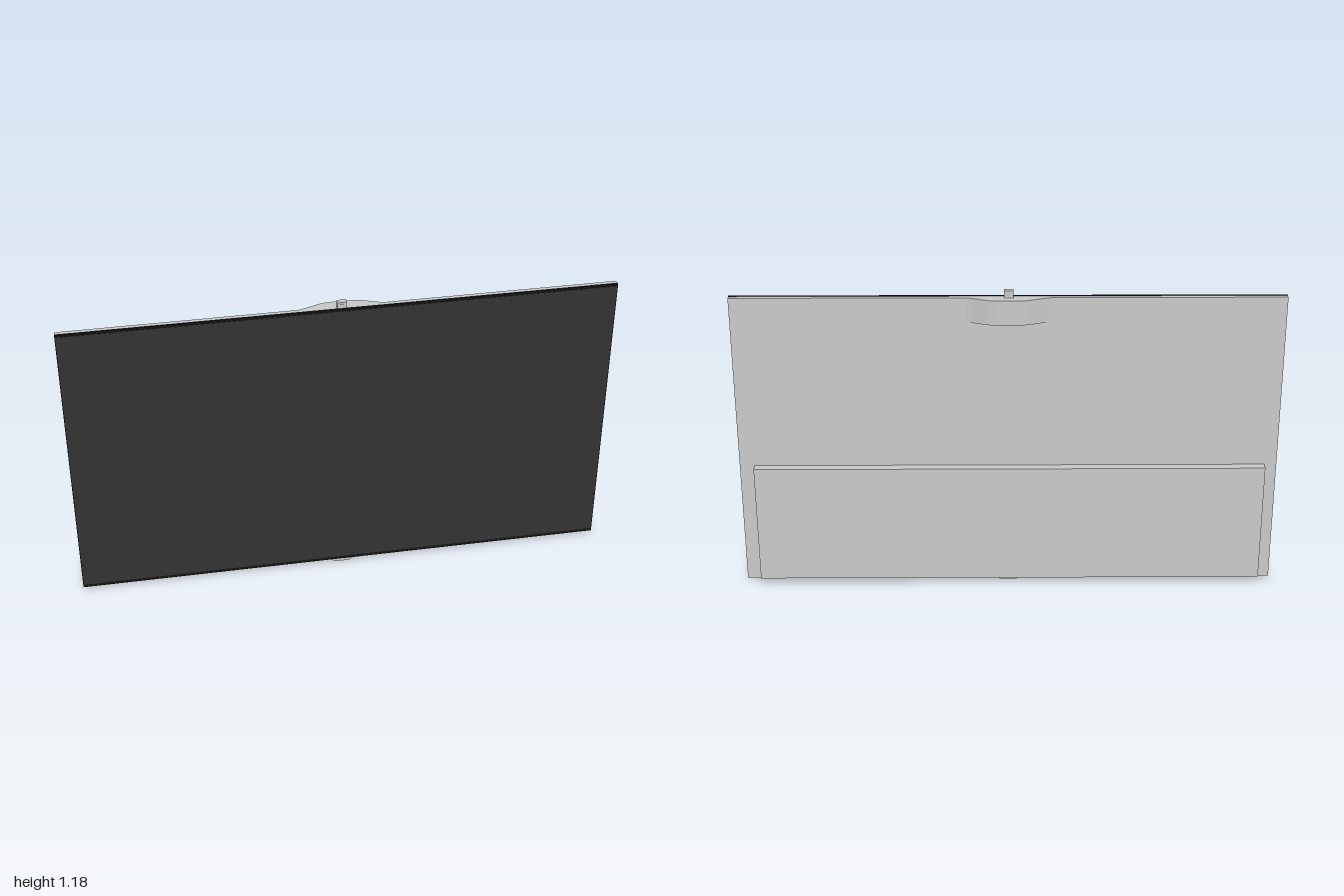
import * as THREE from 'three';

export function createModel() {
  const root = new THREE.Group();
  const grey = new THREE.MeshStandardMaterial({ color: 0xcccccc });
  const black = new THREE.MeshStandardMaterial({ color: 0x141414 });
  const glass = new THREE.MeshStandardMaterial({ color: 0x333333 });

  const add = (name, geometry, material) => {
    const mesh = new THREE.Mesh(geometry, material);
    mesh.name = name;
    root.add(mesh);
    return mesh;
  };
  // Box given by its limits on each axis
  const box = (name, [x0, x1], [y0, y1], [z0, z1], material) =>
    add(name, new THREE.BoxGeometry(x1 - x0, y1 - y0, z1 - z0), material)
      .position.set((x0 + x1) / 2, (y0 + y1) / 2, (z0 + z1) / 2);
  const extrude = (shape, depth) =>
    new THREE.ExtrudeGeometry(shape, { depth, bevelEnabled: false, curveSegments: 10 });

  // Rear casing, its lower edge a little deeper towards the two ends
  const casing = new THREE.Shape([
    [-1, 0.012], [-0.77, 0.012], [-0.75, 0.017], [0.75, 0.017],
    [0.77, 0.012], [1, 0.012], [1, 1.153], [-1, 1.153],
  ].map(([x, y]) => new THREE.Vector2(x, y)));
  add('casing', extrude(casing, 0.017), grey).position.z = 0.005;

  // Black front frame with the screen set in it
  box('bezel', [-1, 1], [0.017, 1.155], [0.022, 0.0285], black);
  box('screen', [-0.997, 0.997], [0.03, 1.146], [0.026, 0.03], glass);

  // Wide electronics housing low on the back
  box('rearHousing', [-0.955, 0.945], [0.027, 0.49], [-0.029, 0.006], grey);

  // Curved camera hump at the top of the back: plan outline extruded in height
  const hump = new THREE.Shape();
  hump.moveTo(-0.15, -0.006);
  hump.lineTo(-0.15, -0.004);
  hump.bezierCurveTo(-0.11, 0.004, -0.08, 0.028, -0.04, 0.028);
  hump.lineTo(0.04, 0.028);
  hump.bezierCurveTo(0.08, 0.028, 0.11, 0.004, 0.15, -0.004);
  hump.lineTo(0.15, -0.006);
  const humpMesh = add('rearHump', extrude(hump, 0.093), grey);
  humpMesh.rotation.x = -Math.PI / 2;
  humpMesh.position.y = 1.06;

  // Small camera block standing on the top edge
  box('camera', [-0.018, 0.016], [1.15, 1.179], [0.005, 0.024], grey);
  const lens = add('cameraLens', new THREE.CylinderGeometry(0.006, 0.006, 0.002, 16), grey);
  lens.rotation.x = Math.PI / 2;
  lens.position.set(-0.001, 1.167, 0.0245);

  // Shallow sensor pod hanging under the lower edge
  const pod = new THREE.Shape();
  pod.moveTo(-0.055, 0.02);
  pod.bezierCurveTo(-0.04, 0.012, -0.035, 0, -0.018, 0);
  pod.lineTo(0.018, 0);
  pod.bezierCurveTo(0.035, 0, 0.04, 0.012, 0.055, 0.02);
  add('sensorPod', extrude(pod, 0.015), grey).position.z = 0.007;

  return root;
}
